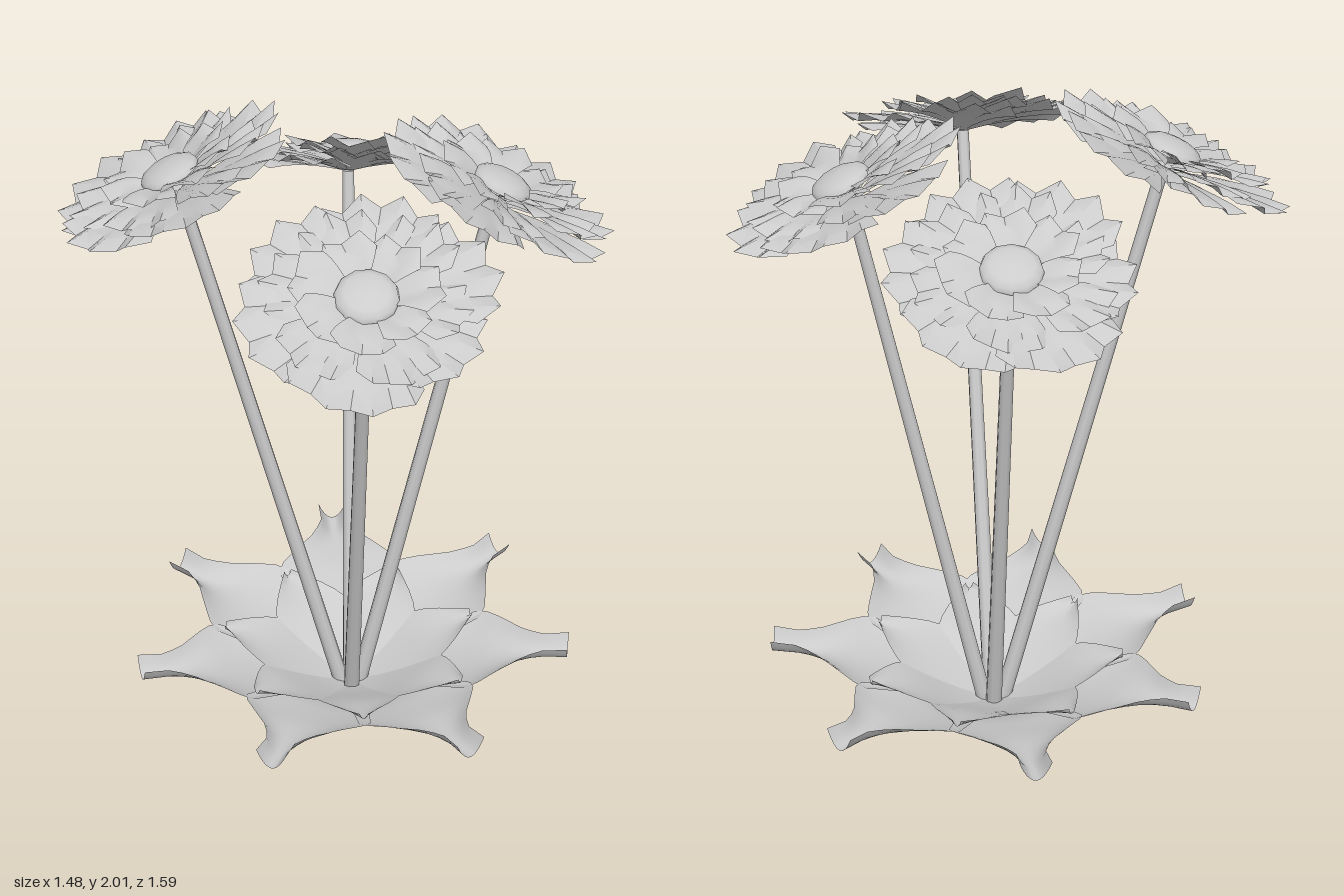
import * as THREE from 'three';
import { toCreasedNormals } from 'three/addons/utils/BufferGeometryUtils.js';

const material = new THREE.MeshStandardMaterial({ color: 0xcccccc, side: THREE.DoubleSide });
const BASE = new THREE.Vector3(0.04, 0, -0.08);

function named(geometry, name) {
  const mesh = new THREE.Mesh(geometry, material);
  mesh.name = name;
  return mesh;
}

// Open sheet over a grid; point(u, v) with u across in -1..1 and v outward in 0..1
function sheet(across, along, point) {
  const positions = [], index = [];
  for (let j = 0; j <= along; j++)
    for (let i = 0; i <= across; i++) positions.push(...point((i / across) * 2 - 1, j / along, i, j));
  for (let j = 0; j < along; j++)
    for (let i = 0; i < across; i++) {
      const a = j * (across + 1) + i, b = a + 1, c = a + across + 1, d = c + 1;
      index.push(a, b, c, b, d, c);
    }
  const geometry = new THREE.BufferGeometry();
  geometry.setAttribute('position', new THREE.Float32BufferAttribute(positions, 3));
  geometry.setIndex(index);
  return toCreasedNormals(geometry, 0.6);
}

// Fan-shaped petal with a toothed rim and pleats that deepen outward
function petalGeometry({ inner, outer, low, high, spread, teeth, pleat, twist }) {
  return sheet(teeth * 2, 5, (u, v, i) => {
    const tooth = i % 2 ? 1 : -1;
    const rim = outer * (1 - 0.13 * u * u + 0.045 * tooth);
    const r = inner + (rim - inner) * v;
    const a = u * spread * (0.75 + 0.25 * Math.sin(v * Math.PI * 0.6));
    const y = low + (high - low) * Math.sin(v * Math.PI / 2) + tooth * pleat * v * v + twist * u * v;
    return [r * Math.cos(a), y, r * Math.sin(a)];
  });
}

function petalRing(name, count, turn, options) {
  const ring = new THREE.Group();
  ring.name = name;
  const geometry = petalGeometry(options);
  for (let k = 0; k < count; k++) {
    const petal = named(geometry, 'petal');
    petal.rotation.y = turn + (k / count) * Math.PI * 2;
    petal.scale.setScalar(1 + 0.05 * Math.sin(k * 2.4));
    ring.add(petal);
  }
  return ring;
}

function createBlossom() {
  const blossom = new THREE.Group();
  blossom.name = 'blossom';
  blossom.add(
    petalRing('outerPetals', 6, 0, { inner: 0.015, outer: 0.335, low: 0, high: 0.045, spread: 0.66, teeth: 4, pleat: 0.012, twist: 0.02 }),
    petalRing('middlePetals', 6, 0.5, { inner: 0.02, outer: 0.275, low: 0.015, high: 0.06, spread: 0.5, teeth: 3, pleat: 0.012, twist: 0.016 }),
    petalRing('innerPetals', 7, 0.2, { inner: 0.02, outer: 0.19, low: 0.03, high: 0.082, spread: 0.55, teeth: 2, pleat: 0.012, twist: 0.015 }),
  );
  // Low domed heart
  const dome = [[0.085, 0.06], [0.08, 0.075], [0.06, 0.085], [0.03, 0.091], [0, 0.093]];
  blossom.add(named(new THREE.LatheGeometry(dome.map(([x, y]) => new THREE.Vector2(x, y)), 12), 'flowerHeart'));
  return blossom;
}

// Tapered stem from the foot to the underside of a blossom
function createStem(top) {
  const direction = top.clone().sub(BASE);
  const stem = named(new THREE.CylinderGeometry(0.018, 0.025, direction.length(), 8), 'stem');
  stem.position.copy(BASE).addScaledVector(direction, 0.5);
  stem.quaternion.setFromUnitVectors(new THREE.Vector3(0, 1, 0), direction.normalize());
  return stem;
}

// Piecewise-linear lookup in a short list of [distance, value] pairs
function lookup(pairs, x) {
  for (let i = 1; i < pairs.length; i++)
    if (x <= pairs[i][0]) {
      const [x0, y0] = pairs[i - 1], [x1, y1] = pairs[i];
      return y0 + (y1 - y0) * (x - x0) / (x1 - x0);
    }
  return pairs[pairs.length - 1][1];
}

const LEAF_WIDTH = [[0, 0.015], [0.1, 0.075], [0.22, 0.14], [0.38, 0.2], [0.45, 0.14], [0.52, 0.075], [0.58, 0.042], [0.66, 0.045]];
const LEAF_RISE = [[0, 0.1], [0.1, 0.135], [0.25, 0.205], [0.42, 0.25], [0.55, 0.265], [0.66, 0.275]];

// Broad leaf whose edges lift and whose narrow tip rolls into a gutter
function outerLeafGeometry() {
  return sheet(10, 18, (u, v) => {
    const r = 0.66 * v;
    const lift = lookup([[0, 0.01], [0.3, 0.03], [0.42, 0.04], [0.66, 0.055]], r);
    return [r, lookup(LEAF_RISE, r) + lift * u * u, u * lookup(LEAF_WIDTH, r)];
  });
}

// Shorter rounded leaf lying on the outer ones
function innerLeafGeometry() {
  return sheet(8, 10, (u, v) => {
    const r = 0.01 + 0.38 * v;
    const width = 0.012 + 0.125 * Math.sin(Math.PI * Math.pow(v, 0.9)) ;
    return [r, lookup(LEAF_RISE, r) + 0.012 + 0.015 * v + 0.02 * u * u * v, u * width];
  });
}

function createRosette() {
  const rosette = new THREE.Group();
  rosette.name = 'leafRosette';
  rosette.position.copy(BASE);
  const outer = outerLeafGeometry(), inner = innerLeafGeometry();
  const step = Math.PI * 2 / 7;
  for (let k = 0; k < 7; k++) {
    const leaf = named(outer, 'outerLeaf');
    leaf.rotation.y = 1.12 + k * step;
    const small = named(inner, 'innerLeaf');
    small.rotation.y = leaf.rotation.y + step / 2;
    rosette.add(leaf, small);
  }
  // Tapered foot under the leaves
  const foot = named(new THREE.CylinderGeometry(0.045, 0.024, 0.11, 8), 'foot');
  foot.position.y = 0.055;
  rosette.add(foot);
  return rosette;
}

export function createModel() {
  const model = new THREE.Group();
  model.name = 'flowerCluster';
  model.add(createRosette());

  // Stem tops, each blossom leaning outward from the foot
  const tops = [[-0.4, 1.8, 0.1], [-0.115, 1.66, -0.455], [0.39, 1.755, -0.225], [0.26, 1.73, 0.435]];
  tops.forEach((p, k) => {
    const top = new THREE.Vector3(...p);
    const lean = top.clone().sub(BASE).setY(0).normalize().multiplyScalar(0.45).setY(1).normalize();
    const blossom = createBlossom();
    blossom.position.copy(top);
    blossom.quaternion.setFromUnitVectors(new THREE.Vector3(0, 1, 0), lean);
    blossom.rotateY(k * 1.3);
    const flower = new THREE.Group();
    flower.name = 'flower';
    flower.add(createStem(top), blossom);
    model.add(flower);
  });
  return model;
}
